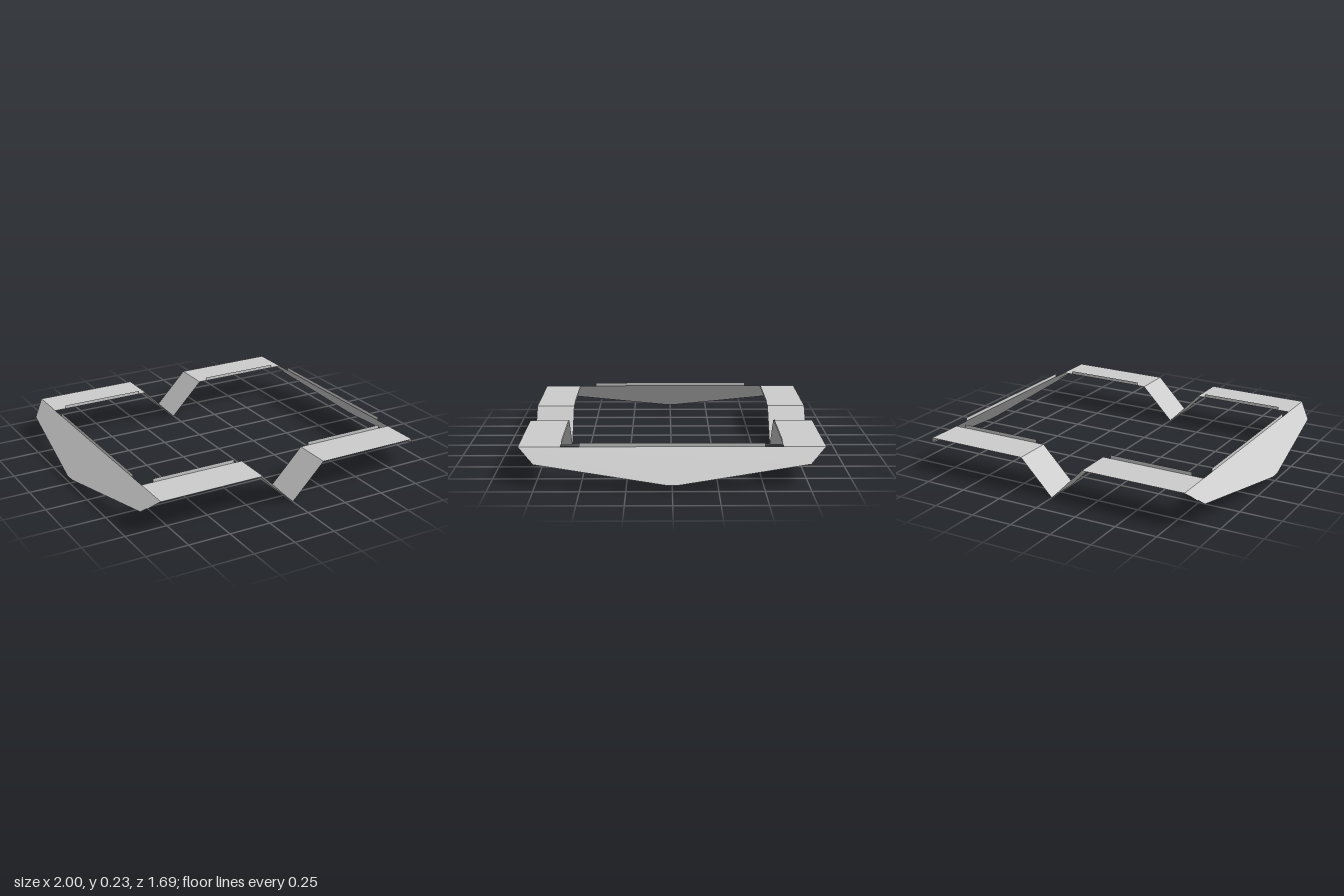
import * as THREE from 'three';

const material = new THREE.MeshStandardMaterial({ color: 0xcccccc, side: THREE.DoubleSide, flatShading: true });

// Thin flat panel from the corners of a convex outline
function panel(name, corners) {
  const pos = [];
  for (let i = 1; i < corners.length - 1; i++) pos.push(...corners[0], ...corners[i], ...corners[i + 1]);
  const geo = new THREE.BufferGeometry();
  geo.setAttribute('position', new THREE.Float32BufferAttribute(pos, 3));
  geo.computeVertexNormals();
  const mesh = new THREE.Mesh(geo, material);
  mesh.name = name;
  return mesh;
}

const TOP = 0.205, TAB = 0.226;      // heights of the frame and the upright tabs
const EDGE = 0.83;                   // x of the side folds
const INNER = 0.612, OUTER = 0.845;  // z range of the end strips

// Half of one end strip, with its notch wall, upright tab and tucked corner flap
function stripHalf(sx, sz) {
  const group = new THREE.Group();
  const p = (x, y, z) => [sx * x, y, sz * z];
  // Corner order follows the mirroring so the faces stay turned upward
  const add = (name, pts) => group.add(panel(name, sx * sz > 0 ? pts : pts.reverse()));
  const band = (name, x0, y0, x1, y1) =>
    add(name, [p(x0, y0, INNER), p(x0, y0, OUTER), p(x1, y1, OUTER), p(x1, y1, INNER)]);
  band('notchWall', 0, 0, 0.2, TOP);
  band('stripTop', 0.2, TOP, EDGE, TOP);
  add('stripTab', [p(0.25, TOP, INNER), p(0.76, TOP, INNER), p(0.76, TAB, INNER), p(0.25, TAB, INNER)]);
  // Flap lying just beneath the side panel
  add('cornerFlap', [p(EDGE, TOP, INNER), p(EDGE, TOP, OUTER - 0.005),
    p(0.88, 0.149, 0.785), p(0.88, 0.149, INNER + 0.01)]);
  return group;
}

// Sloping side panel with a pointed lower edge and an upright tab
function side(s) {
  const group = new THREE.Group();
  const slope = (x, z) => [s * x, TOP - (x - EDGE), z];
  const outline = [[EDGE, OUTER], [0.909, 0.755], [1, 0.035], [1, -0.035], [0.909, -0.755], [EDGE, -OUTER]];
  const pts = outline.map(([x, z]) => slope(x, z));
  group.add(panel('sidePanel', s > 0 ? pts : pts.reverse()));
  const t = s * EDGE;
  group.add(panel('sideTab', [[t, TOP, -0.51], [t, TOP, 0.51], [t, TAB, 0.51], [t, TAB, -0.51]]));
  return group;
}

export function createModel() {
  const model = new THREE.Group();
  model.name = 'foldedFrame';
  for (const sx of [1, -1]) {
    const flank = side(sx);
    flank.name = sx > 0 ? 'leftSide' : 'rightSide';
    model.add(flank);
    for (const sz of [1, -1]) {
      const half = stripHalf(sx, sz);
      half.name = (sz > 0 ? 'front' : 'back') + 'Strip' + (sx > 0 ? 'Left' : 'Right');
      model.add(half);
    }
  }
  return model;
}
